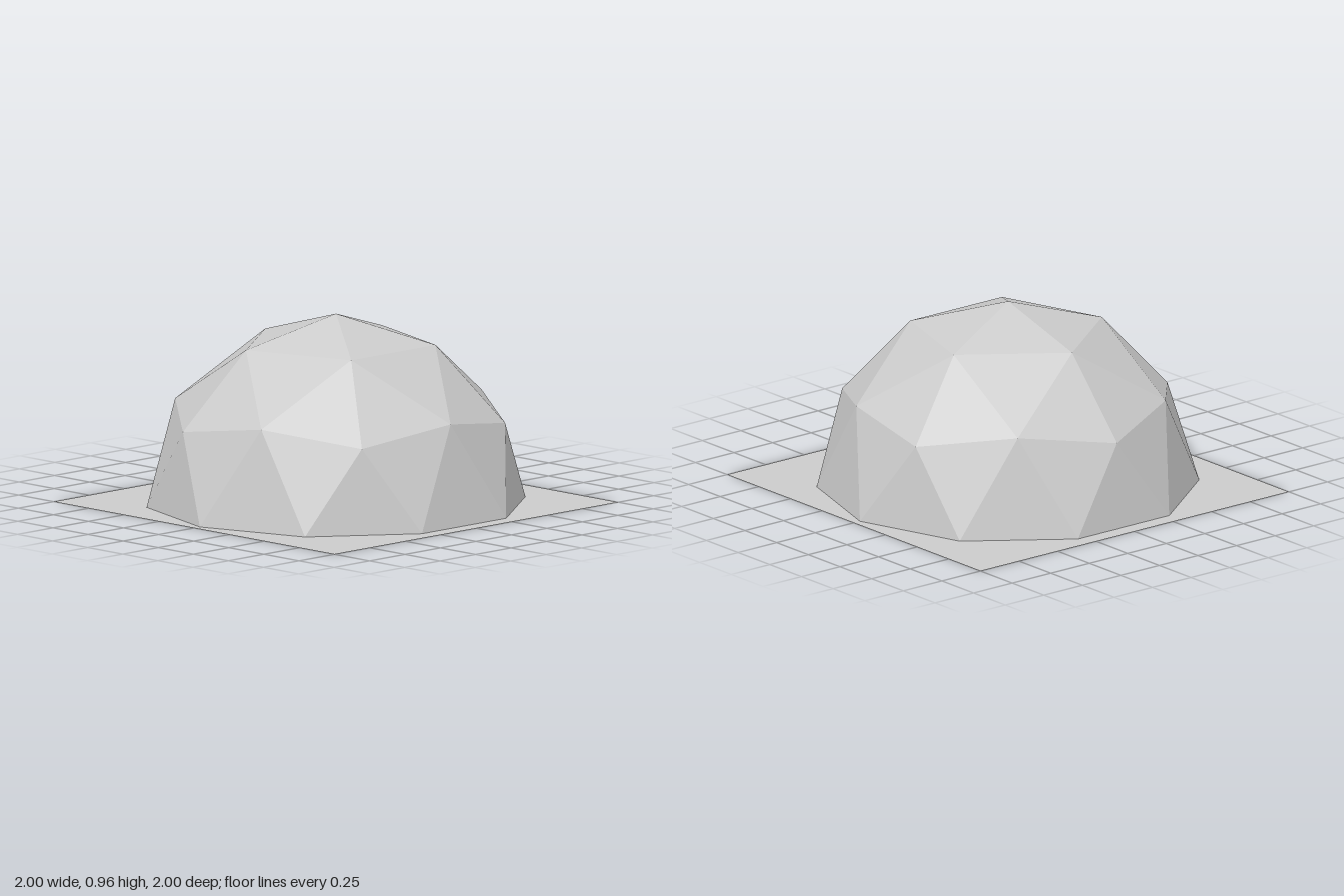
import * as THREE from 'three';

const RADIUS = 0.96;

// Point on the dome sphere; polar is measured from the top, both in degrees
function spherePoint(polar, azimuth) {
  const p = THREE.MathUtils.degToRad(polar);
  const a = THREE.MathUtils.degToRad(azimuth);
  return new THREE.Vector3(Math.sin(p) * Math.cos(a), Math.cos(p), Math.sin(p) * Math.sin(a))
    .multiplyScalar(RADIUS);
}

// Two-frequency geodesic half sphere, joined ring by ring
function domeGeometry() {
  const apex = spherePoint(0, 0);
  const upper = [], middle = [], base = [];
  for (let k = 0; k < 5; k++) upper.push(spherePoint(31.72, 36 + 72 * k));
  for (let i = 0; i < 10; i++) {
    middle.push(spherePoint(i % 2 ? 63.43 : 58.28, 36 * i));
    base.push(spherePoint(90, 18 + 36 * i));
  }

  const points = [];
  const face = (a, b, c) => points.push(a, b, c);
  for (let k = 0; k < 5; k++) {
    const next = upper[(k + 1) % 5];
    const [right, centre, left] = [0, 1, 2].map((n) => middle[(2 * k + n) % 10]);
    face(apex, next, upper[k]);
    face(upper[k], centre, right);
    face(upper[k], left, centre);
    face(upper[k], next, left);
  }
  for (let i = 0; i < 10; i++) {
    face(middle[i], base[i], base[(i + 9) % 10]);
    face(middle[i], middle[(i + 1) % 10], base[i]);
  }

  const geometry = new THREE.BufferGeometry().setFromPoints(points);
  geometry.computeVertexNormals();
  return geometry;
}

export function createModel() {
  const group = new THREE.Group();
  const material = new THREE.MeshStandardMaterial({
    color: 0xcccccc, flatShading: true, side: THREE.DoubleSide,
  });

  // Faceted shell
  const dome = new THREE.Mesh(domeGeometry(), material);
  dome.name = 'dome';

  // Thin square floor
  const ground = new THREE.Mesh(new THREE.PlaneGeometry(2, 2).rotateX(-Math.PI / 2), material);
  ground.name = 'floor';

  group.add(dome, ground);
  return group;
}
